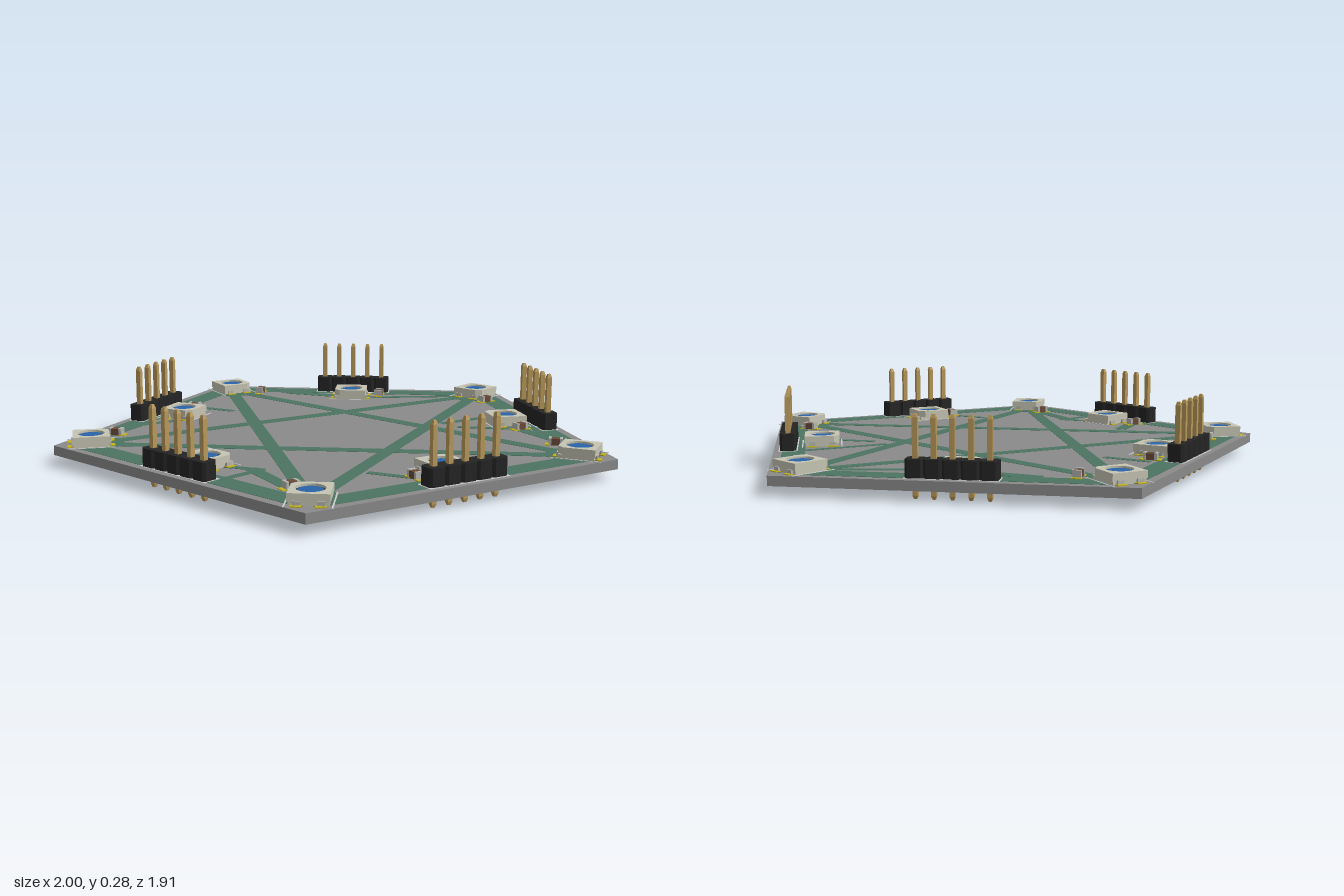
import * as THREE from 'three';

const TAU = Math.PI * 2, CZ = 0.1, R = 1.0515;
const BOT = 0.037, TOP = 0.072;

const mat = (color, flat = false) => new THREE.MeshStandardMaterial({ color, flatShading: flat });
const M = {
  board: mat(0x8a8a8a, true), trace: mat(0x4c7462), black: mat(0x242424, true),
  pin: mat(0xb8985a, true), body: mat(0xc6c5b4), lens: mat(0x2a62a8), dark: mat(0x2c2f33),
  pad: mat(0xc4b41c), cap: mat(0x6a4a38), tin: mat(0xb4b4b0), white: mat(0xd8d8d4),
};

function add(parent, name, geo, material, x = 0, y = 0, z = 0) {
  const m = new THREE.Mesh(geo, material);
  m.name = name;
  m.position.set(x, y, z);
  parent.add(m);
  return m;
}
const box = (parent, name, w, h, d, material, x, y, z) =>
  add(parent, name, new THREE.BoxGeometry(w, h, d), material, x, y, z);

// Flat copper strip between two [x, z] points, at height y
function strip(parent, a, b, w, y) {
  const dx = b[0] - a[0], dz = b[1] - a[1];
  const m = box(parent, 'trace', Math.hypot(dx, dz), 0.002, w, M.trace,
    (a[0] + b[0]) / 2, y, (a[1] + b[1]) / 2);
  m.rotation.y = -Math.atan2(dz, dx);
}

// Point at radius r, angle measured from the front
const polar = (r, a) => [r * Math.sin(a), CZ + r * Math.cos(a)];

// Five-way pin header, row along x, centred on its origin
function pinHeader() {
  const g = new THREE.Group();
  g.name = 'pinHeader';
  box(g, 'headerOutline', 0.322, 0.002, 0.07, M.white, 0, TOP + 0.001, 0);
  const s = 0.0625, hw = s / 2, hd = 0.03, c = 0.009;
  const seg = new THREE.Shape([
    [-hw, -hd + c], [-hw + c, -hd], [hw - c, -hd], [hw, -hd + c],
    [hw, hd - c], [hw - c, hd], [-hw + c, hd], [-hw, hd - c],
  ].map(p => new THREE.Vector2(...p)));
  const segGeo = new THREE.ExtrudeGeometry(seg, { depth: 0.065, bevelEnabled: false }).rotateX(-Math.PI / 2);
  for (let i = -2; i <= 2; i++) {
    add(g, 'headerBlock', segGeo, M.black, i * s, TOP, 0);
    box(g, 'pin', 0.018, 0.26, 0.018, M.pin, i * s, 0.142, 0);
    const tips = [[0.272, 0.285, 0.018, 0.01], [0, 0.012, 0.01, 0.018]];
    for (const [y0, y1, w0, w1] of tips) {
      const tip = new THREE.CylinderGeometry(w1 * Math.SQRT1_2, w0 * Math.SQRT1_2, y1 - y0, 4).rotateY(Math.PI / 4);
      add(g, 'pinTip', tip, M.pin, i * s, (y0 + y1) / 2, 0);
    }
    // Solder ring under the board
    add(g, 'solderRing', new THREE.CylinderGeometry(0.02, 0.02, 0.003, 16), M.pad, i * s, BOT - 0.001, 0);
  }
  return g;
}

// Square lamp with a round blue window and two pads on either side along x
function lamp() {
  const g = new THREE.Group();
  g.name = 'lamp';
  const h = 0.066, c = 0.022;
  const shape = new THREE.Shape([[-h, -h], [h, -h], [h, h - c], [h - c, h], [-h, h]].map(p => new THREE.Vector2(...p)));
  shape.holes.push(new THREE.Path().absarc(0, 0, 0.048, 0, TAU, true));
  const top = new THREE.ExtrudeGeometry(shape, { depth: 0.026, bevelEnabled: false, curveSegments: 24 });
  add(g, 'lampBody', top.rotateX(-Math.PI / 2), M.body, 0, TOP + 0.014, 0);
  box(g, 'lampBase', 0.126, 0.014, 0.126, M.body, 0, TOP + 0.007, 0);
  add(g, 'lampRim', new THREE.CylinderGeometry(0.0478, 0.0478, 0.018, 32), M.dark, 0, TOP + 0.023, 0);
  add(g, 'lampLens', new THREE.CylinderGeometry(0.041, 0.041, 0.02, 32), M.lens, 0, TOP + 0.0245, 0);
  for (const sx of [-1, 1]) {
    for (const sz of [-1, 1]) {
      box(g, 'lampPad', 0.03, 0.003, 0.034, M.pad, sx * 0.069, TOP + 0.0025, sz * 0.038);
      box(g, 'lampLead', 0.008, 0.016, 0.024, M.tin, sx * 0.067, TOP + 0.009, sz * 0.038);
    }
    box(g, 'lampOutline', 0.175, 0.002, 0.005, M.white, 0, TOP + 0.002, sx * 0.074);
  }
  return g;
}

// Small chip capacitor along x
function capacitor() {
  const g = new THREE.Group();
  g.name = 'capacitor';
  box(g, 'capacitorBody', 0.034, 0.024, 0.03, M.cap, 0, TOP + 0.014, 0);
  for (const s of [-1, 1]) {
    box(g, 'capacitorEnd', 0.01, 0.026, 0.032, M.tin, s * 0.02, TOP + 0.015, 0);
    box(g, 'capacitorPad', 0.026, 0.003, 0.036, M.pad, s * 0.026, TOP + 0.0025, 0);
  }
  return g;
}

export function createModel() {
  const model = new THREE.Group();
  model.name = 'pentagonCircuitBoard';

  // Board
  add(model, 'board', new THREE.CylinderGeometry(R, R, TOP - BOT, 5, 1, false, Math.PI / 5),
    M.board, 0, (TOP + BOT) / 2, CZ);

  // Star, rim and corner copper on both faces
  const copper = new THREE.Group();
  copper.name = 'copperTraces';
  model.add(copper);
  for (const y of [TOP, BOT]) {
    for (let k = 0; k < 5; k++) {
      const a = (k + 0.5) * TAU / 5;
      strip(copper, polar(0.92, a), polar(0.92, a + 2 * TAU / 5), 0.052, y);
      strip(copper, polar(0.96, a), polar(0.96, a + TAU / 5), 0.085, y);
      const [x, z] = polar(0.88, a);
      add(copper, 'cornerCopper', new THREE.CylinderGeometry(0.1, 0.1, 0.002, 5).rotateY(a), M.trace, x, y, z);
    }
    // Branches feeding the inner lamps
    const branches = [
      [-0.83, -0.25, -0.62, -0.38], [-0.62, -0.38, -0.4, -0.38], [-0.28, -0.58, -0.18, -0.43],
      [0.2, -0.66, 0.42, -0.4], [0.42, -0.4, 0.78, -0.22], [0.42, 0.19, 0.75, 0.19],
      [0.62, 0.3, 0.62, 0.68], [0.44, 0.27, 0.62, 0.42], [-0.22, 0.66, -0.12, 0.8],
      [-0.58, 0.1, -0.72, 0.22], [-0.64, 0.3, -0.5, 0.46], [-0.7, 0.5, -0.5, 0.45], [-0.53, 0.42, -0.53, 0.7],
    ];
    branches.forEach(([x0, z0, x1, z1], i) => strip(copper, [x0, z0], [x1, z1], i % 3 ? 0.03 : 0.05, y));
  }

  // Headers and lamps along the edges, lamps in the corners
  for (let k = 0; k < 5; k++) {
    const edge = new THREE.Group(), corner = new THREE.Group();
    edge.name = 'edgeParts';
    corner.name = 'cornerParts';
    edge.rotation.y = k * TAU / 5;
    corner.rotation.y = (k + 0.5) * TAU / 5;
    edge.position.z = corner.position.z = CZ;
    const header = pinHeader(), inner = lamp(), outer = lamp();
    header.position.z = 0.797;
    inner.position.z = 0.672;
    outer.position.z = 0.918;
    outer.rotation.y = Math.PI / 2;
    edge.add(header, inner);
    corner.add(outer);
    model.add(edge, corner);
  }

  // Capacitors: x, z, turn in degrees
  const caps = [
    [0.09, -0.71, 45], [-0.3, -0.55, -45], [0.51, -0.4, 45], [0.83, -0.055, 0], [0.62, 0.425, 0],
    [0.57, 0.685, -45], [-0.125, 0.8, 90], [-0.53, 0.7, 0], [-0.705, 0.19, 0], [-0.745, -0.27, -45],
  ];
  for (const [x, z, deg] of caps) {
    const c = capacitor();
    c.position.set(x, 0, z);
    c.rotation.y = deg * Math.PI / 180;
    model.add(c);
  }

  // Test pads under three of the star's crossings
  for (const [x, z] of [[0.235, -0.215], [-0.235, -0.215], [0.37, 0.23]]) {
    for (let i = -1; i <= 1; i++) {
      box(model, 'testPad', 0.026, 0.003, 0.05, M.pad, x + i * 0.034, BOT - 0.0015, z);
    }
  }
  return model;
}
